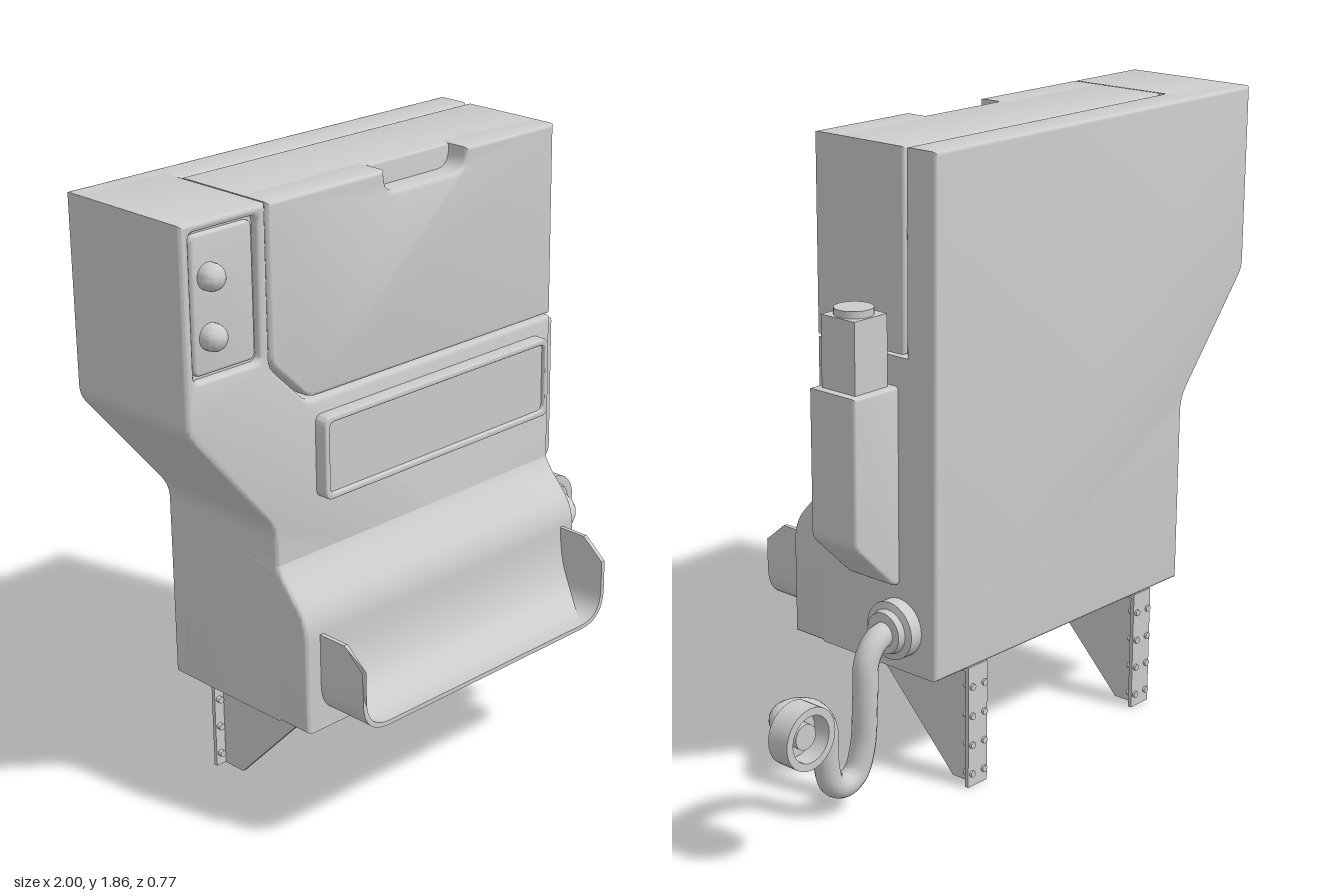
import * as THREE from 'three';
import { toCreasedNormals } from 'three/addons/utils/BufferGeometryUtils.js';

const material = new THREE.MeshStandardMaterial({ color: 0xcccccc });
const thin = new THREE.MeshStandardMaterial({ color: 0xcccccc, side: THREE.DoubleSide });

// Trace a polygon whose corners [x, y, radius] may be rounded
function outline(points, target = new THREE.Shape()) {
  const n = points.length;
  points.forEach(([x, y, r = 0], i) => {
    const c = new THREE.Vector2(x, y);
    const toward = (p) => new THREE.Vector2(p[0], p[1]).sub(c).setLength(r).add(c);
    const a = r ? toward(points[(i + n - 1) % n]) : c;
    if (i === 0) target.moveTo(a.x, a.y);
    else target.lineTo(a.x, a.y);
    if (r) {
      const b = toward(points[(i + 1) % n]);
      target.quadraticCurveTo(x, y, b.x, b.y);
    }
  });
  target.closePath();
  return target;
}

const rect = (x0, y0, x1, y1, r = 0) => [[x0, y0, r], [x1, y0, r], [x1, y1, r], [x0, y1, r]];

// Extrude between two depths, with the bevel kept inside the outline
function slab(shape, z0, z1, bevel = 0) {
  const geo = new THREE.ExtrudeGeometry(shape, {
    depth: z1 - z0 - 2 * bevel, curveSegments: 8, bevelEnabled: bevel > 0,
    bevelThickness: bevel, bevelSize: bevel, bevelOffset: -bevel, bevelSegments: 3,
  });
  return geo.translate(0, 0, z0 + bevel);
}

const lathe = (pts) => new THREE.LatheGeometry(pts.map((p) => new THREE.Vector2(...p)), 32);

export function createModel() {
  const model = new THREE.Group();
  const add = (name, geo, parent = model, mat = material) => {
    const mesh = new THREE.Mesh(toCreasedNormals(geo, 0.6), mat);
    mesh.name = name;
    parent.add(mesh);
    return mesh;
  };
  const box = (name, x0, x1, y0, y1, z0, z1, parent) =>
    add(name, new THREE.BoxGeometry(x1 - x0, y1 - y0, z1 - z0)
      .translate((x0 + x1) / 2, (y0 + y1) / 2, (z0 + z1) / 2), parent);

  // Cabinet: full back, front with the lid corner left out, and bulging base
  add('cabinetBack', slab(outline([
    [-1, 1.86], [-1, 1.3, 0.03], [-0.71, 0.95, 0.04], [-0.71, 0.37], [0.385, 0.37], [0.385, 1.86],
  ]), -0.34, -0.23, 0.012));
  const front = outline([
    [-1, 1.86], [-1, 1.3, 0.03], [-0.71, 0.95, 0.04], [-0.71, 0.37], [0.385, 0.37],
    [0.385, 1.285], [-0.585, 1.285, 0.03], [-0.715, 1.415, 0.03], [-0.715, 1.86],
  ]);
  front.holes.push(outline(rect(-0.97, 1.44, -0.745, 1.835, 0.02), new THREE.Path()));
  add('cabinetFront', slab(front, -0.3, 0.11, 0.012));
  add('cabinetBase', slab(outline([
    [-0.22, 0.37], [0.3, 0.37], [0.3, 0.9], [-0.09, 0.9], [-0.11, 0.83, 0.05], [-0.22, 0.71, 0.06],
  ]), -0.71, 0.385, 0.012).rotateY(Math.PI / 2));

  // Lid with a finger notch in its top front edge
  const lidSide = [[-0.71, 1.86], [-0.71, 1.42, 0.03], [-0.58, 1.293, 0.03], [0.385, 1.293], [0.385, 1.86]];
  add('lid', slab(outline(lidSide), -0.225, 0.04, 0.008));
  add('lidFront', slab(outline([
    ...lidSide, [0.025, 1.86], [0.025, 1.795, 0.05], [-0.29, 1.795, 0.05], [-0.29, 1.86],
  ]), 0, 0.11, 0.012));

  // Control panel and knobs
  add('controlPanel', slab(outline(rect(-0.96, 1.45, -0.755, 1.825, 0.02)), 0.05, 0.1, 0.008));
  box('controlRecess', -0.98, -0.735, 1.43, 1.845, 0.03, 0.085);
  for (const y of [1.55, 1.71]) {
    add('knob', new THREE.CapsuleGeometry(0.037, 0.03, 8, 24).rotateX(Math.PI / 2).translate(-0.905, y, 0.098));
  }

  // Framed front plate
  const frame = outline(rect(-0.56, 1, 0.335, 1.24, 0.025));
  frame.holes.push(outline(rect(-0.543, 1.017, 0.318, 1.223, 0.02), new THREE.Path()));
  add('plateFrame', slab(frame, 0.09, 0.15, 0.004));
  box('plate', -0.55, 0.325, 1.01, 1.23, 0.09, 0.138);

  // Scoop tray: U-shaped wall, its upper front corners cut back
  const tray = slab(outline([
    [-0.66, 0.66], [-0.66, 0.6], [-0.66, 0.41, 0.1], [0.335, 0.41, 0.1], [0.335, 0.6], [0.335, 0.66],
    [0.322, 0.66], [0.322, 0.6], [0.322, 0.423, 0.09], [-0.647, 0.423, 0.09], [-0.647, 0.6], [-0.647, 0.66],
  ]), 0.2, 0.385);
  const tp = tray.attributes.position;
  for (let i = 0; i < tp.count; i++) {
    if (tp.getZ(i) > 0.3) tp.setZ(i, 0.385 - Math.max(0, tp.getY(i) - 0.6) * 1.2);
  }
  add('tray', tray);

  // Curved chute from the cabinet face down to the tray lip
  const curve = new THREE.QuadraticBezierCurve(
    new THREE.Vector2(0.222, 0.66), new THREE.Vector2(0.225, 0.425), new THREE.Vector2(0.38, 0.424));
  const chute = new THREE.PlaneGeometry(2, 1, 1, 16);
  const cp = chute.attributes.position;
  for (let i = 0; i < cp.count; i++) {
    const p = curve.getPoint(0.5 - cp.getY(i));
    const drop = Math.max(0, 0.51 - p.y) / 0.1;
    const half = 0.487 - 0.1 * (1 - Math.sqrt(1 - drop * drop));
    cp.setXYZ(i, -0.1625 + cp.getX(i) * half, p.y, p.x);
  }
  add('chute', chute, model, thin);

  // Side canister
  add('canister', slab(outline([
    [0.37, 0.625], [0.405, 0.625, 0.02], [0.553, 0.77, 0.02], [0.553, 1.2], [0.37, 1.2],
  ]), -0.2, -0.027, 0.01));
  box('canisterNeck', 0.402, 0.527, 1.19, 1.405, -0.178, -0.052);
  add('canisterCap', new THREE.CylinderGeometry(0.055, 0.055, 0.03, 32).translate(0.465, 1.41, -0.115));

  // Drain hose with a wall flange and an open coupling
  add('hoseFlange', lathe([[0, 0], [0.085, 0], [0.085, 0.045], [0.065, 0.05], [0.06, 0.07], [0, 0.07]])
    .rotateZ(-Math.PI / 2).translate(0.38, 0.5, -0.2));
  const path = new THREE.CatmullRomCurve3([
    [0.42, 0.5, -0.2], [0.475, 0.49, -0.2], [0.515, 0.44, -0.2], [0.523, 0.34, -0.2], [0.525, 0.18, -0.19],
    [0.55, 0.105, -0.185], [0.597, 0.085, -0.185], [0.645, 0.11, -0.185], [0.667, 0.19, -0.187],
    [0.675, 0.29, -0.192], [0.72, 0.35, -0.195], [0.79, 0.38, -0.2], [0.86, 0.395, -0.225],
    [0.9, 0.4, -0.27], [0.912, 0.4, -0.33],
  ].map((p) => new THREE.Vector3(...p)));
  add('hose', new THREE.TubeGeometry(path, 90, 0.036, 16), model, thin);
  add('hoseCoupling', lathe([
    [0, 0], [0.055, 0], [0.06, 0.01], [0.088, 0.01], [0.088, 0.08], [0.066, 0.08],
    [0.066, 0.025], [0.036, 0.025], [0.036, 0.06], [0, 0.06],
  ]).rotateX(-Math.PI / 2).translate(0.912, 0.397, -0.305));

  // Riveted brackets under the cabinet
  for (const x of [-0.54, 0.21]) {
    const bracket = new THREE.Group();
    bracket.name = 'bracket';
    bracket.position.x = x;
    model.add(bracket);
    box('backFlange', -0.04, 0.04, 0, 0.372, -0.34, -0.328, bracket);
    box('topFlange', -0.04, 0.04, 0.358, 0.372, -0.34, 0.03, bracket);
    add('gusset', slab(outline([[-0.03, 0.37], [-0.03, 0.285], [0.25, 0], [0.34, 0], [0.34, 0.37]]), -0.006, 0.006)
      .rotateY(Math.PI / 2), bracket);
    for (const side of [-0.025, 0.025]) {
      for (const y of [0.04, 0.13, 0.22, 0.31]) {
        add('rivet', new THREE.CylinderGeometry(0.01, 0.01, 0.032, 12).rotateX(Math.PI / 2)
          .translate(side, y, -0.331), bracket);
      }
      for (const z of [-0.01, -0.1, -0.19, -0.28]) {
        add('rivet', new THREE.CylinderGeometry(0.01, 0.01, 0.02, 12).translate(side, 0.352, z), bracket);
      }
    }
  }
  return model;
}
